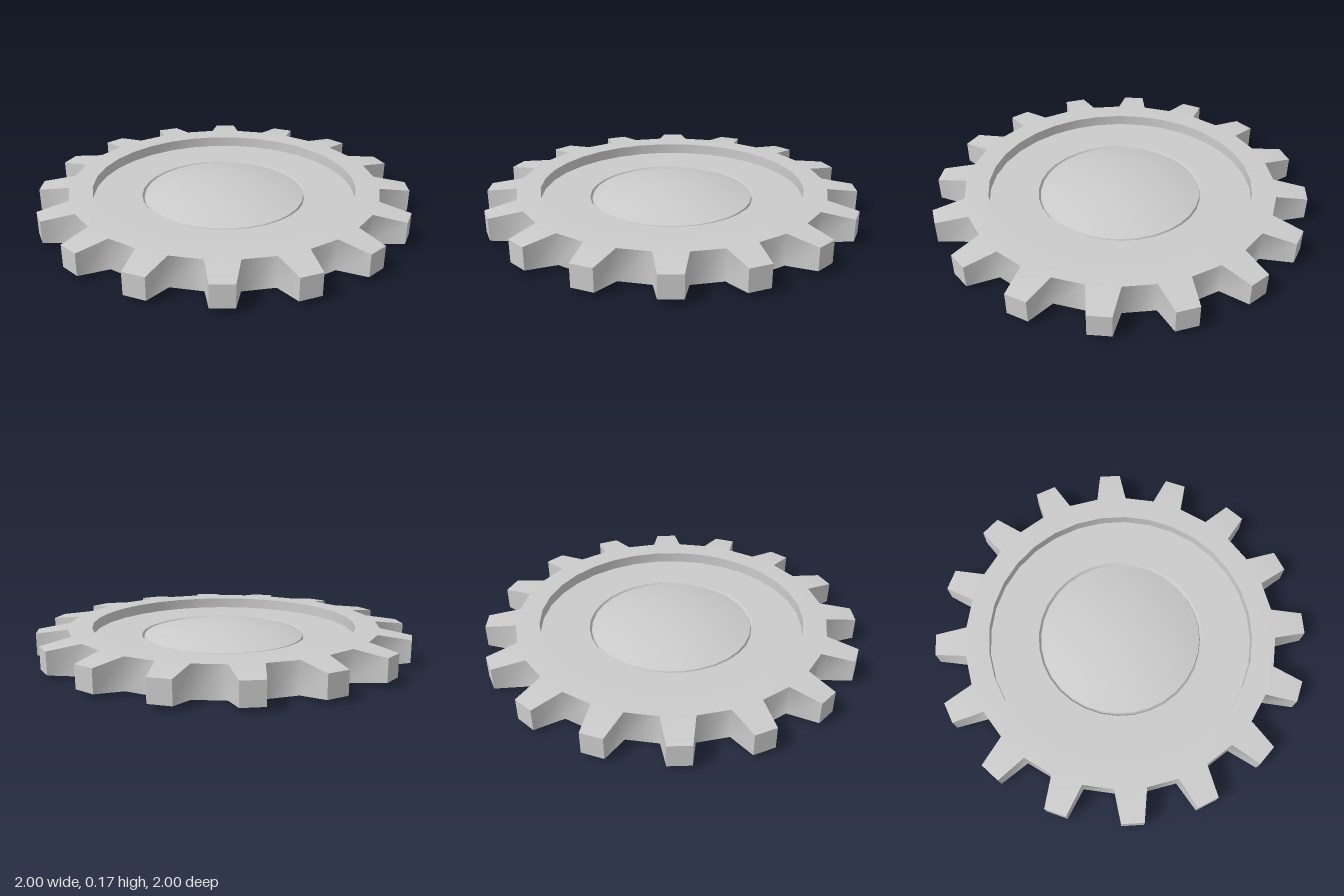
import * as THREE from 'three';
import { toCreasedNormals } from 'three/addons/utils/BufferGeometryUtils.js';

const TEETH = 16, SEG = TEETH * 2, STEP = (Math.PI * 2) / SEG;
const ROOT = 0.835, TIP = 1.001, RECESS = 0.71;
const H = 0.165, TIP_LOW = 0.025, TIP_HIGH = 0.143, FLOOR = 0.107;
const deg = THREE.MathUtils.degToRad;

// polar point, angle clockwise from the back as seen from above
const at = (r, a, y) => [r * Math.sin(a), y, -r * Math.cos(a)];

function meshFromQuads(name, quads, crease, material) {
  const pos = quads.flatMap(([a, b, c, d]) => [a, b, c, a, c, d].flat());
  const geo = new THREE.BufferGeometry();
  geo.setAttribute('position', new THREE.Float32BufferAttribute(pos, 3));
  const mesh = new THREE.Mesh(toCreasedNormals(geo, crease), material);
  mesh.name = name;
  return mesh;
}

// toothed rim: flat ring on top, closed underside, a tapered tooth on every other segment
function gearQuads() {
  const quads = [];
  for (let i = 0; i < SEG; i++) {
    const a = i * STEP, b = a + STEP;
    const ra = at(ROOT, a, H), rb = at(ROOT, b, H);
    const la = at(ROOT, a, 0), lb = at(ROOT, b, 0);
    quads.push([at(RECESS, a, H), at(RECESS, b, H), rb, ra]);
    const mid = ROOT / 2;
    quads.push([la, lb, at(mid, b, 0), at(mid, a, 0)]);
    quads.push([at(mid, a, 0), at(mid, b, 0), [0, 0, 0], [0, 0, 0]]);
    if (i % 2) {
      quads.push([ra, rb, lb, la]); // gap between teeth
      continue;
    }
    const ta = a + deg(2.3), tb = a + deg(8.95);
    const ua = at(TIP, ta, TIP_HIGH), ub = at(TIP, tb, TIP_HIGH);
    const da = at(TIP, ta, TIP_LOW), db = at(TIP, tb, TIP_LOW);
    quads.push([ra, rb, ub, ua]); // sloped top
    quads.push([da, db, lb, la]); // sloped underside
    quads.push([ua, ub, db, da]); // tip
    quads.push([ra, ua, da, la], [ub, rb, lb, db]); // flanks
  }
  return quads;
}

function lathe(name, profile, crease, material) {
  const points = profile.map(([r, y]) => new THREE.Vector2(r, y));
  const geo = new THREE.LatheGeometry(points, SEG);
  const mesh = new THREE.Mesh(toCreasedNormals(geo, crease), material);
  mesh.name = name;
  return mesh;
}

export function createModel() {
  const group = new THREE.Group();
  group.name = 'gear';
  const material = new THREE.MeshStandardMaterial({ color: 0xcccccc });
  const thin = new THREE.MeshStandardMaterial({ color: 0xcccccc, side: THREE.DoubleSide });

  group.add(meshFromQuads('toothedRim', gearQuads(), 1.3, material));

  // recessed floor with its outer wall and the groove around the dome
  group.add(lathe('recess', [
    [0.43, 0.092], [0.437, 0.092], [0.447, FLOOR], [RECESS, FLOOR], [RECESS, H],
  ], 0.5, thin));

  // shallow domed hub
  const dome = [[0.437, 0.092], [0.432, 0.105]];
  for (let i = 1; i <= 10; i++) {
    const t = 1 - i / 10;
    dome.push([0.432 * t, H - 0.06 * t * t]);
  }
  group.add(lathe('domedHub', dome, 0.5, thin));

  return group;
}
